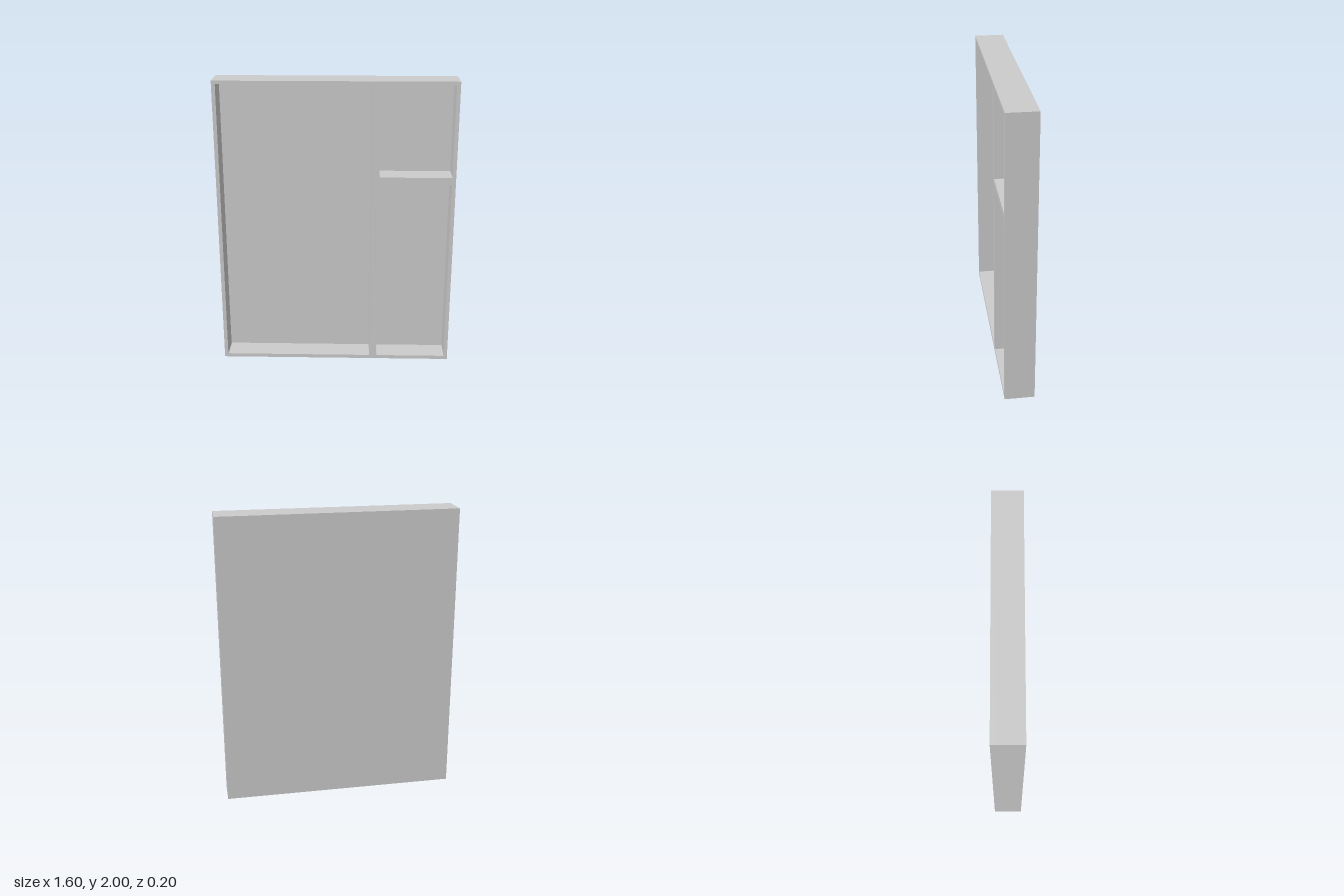
import * as THREE from 'three';

const WIDTH = 1.6, HEIGHT = 2, DEPTH = 0.2;
const BACK = 0.04; // thickness of the back panel
const RADIUS = 0.006; // small rounding of the compartment corners

// Compartment openings: left, bottom, right, top
const OPENINGS = [
  [-0.775, 0.025, 0.24, 1.98],
  [0.29, 1.36, 0.775, 1.98],
  [0.29, 0.025, 0.775, 1.313],
];

function roundedOpening([x0, y0, x1, y1], r) {
  const path = new THREE.Path();
  path.absarc(x1 - r, y1 - r, r, 0, Math.PI / 2);
  path.absarc(x0 + r, y1 - r, r, Math.PI / 2, Math.PI);
  path.absarc(x0 + r, y0 + r, r, Math.PI, Math.PI * 1.5);
  path.absarc(x1 - r, y0 + r, r, Math.PI * 1.5, Math.PI * 2);
  path.closePath();
  return path;
}

export function createModel() {
  const group = new THREE.Group();
  group.name = 'compartmentTray';
  const material = new THREE.MeshStandardMaterial({ color: 0xcccccc });

  // Outer walls and dividers, cut through by the three openings
  const outline = new THREE.Shape([
    new THREE.Vector2(-WIDTH / 2, 0),
    new THREE.Vector2(WIDTH / 2, 0),
    new THREE.Vector2(WIDTH / 2, HEIGHT),
    new THREE.Vector2(-WIDTH / 2, HEIGHT),
  ]);
  for (const opening of OPENINGS) outline.holes.push(roundedOpening(opening, RADIUS));
  const walls = new THREE.Mesh(
    new THREE.ExtrudeGeometry(outline, { depth: DEPTH - BACK, bevelEnabled: false, curveSegments: 4 }),
    material
  );
  walls.name = 'wallsAndDividers';
  walls.position.z = -DEPTH / 2 + BACK;
  group.add(walls);

  // Solid panel closing the back
  const back = new THREE.Mesh(new THREE.BoxGeometry(WIDTH, HEIGHT, BACK), material);
  back.name = 'backPanel';
  back.position.set(0, HEIGHT / 2, -DEPTH / 2 + BACK / 2);
  group.add(back);

  return group;
}
